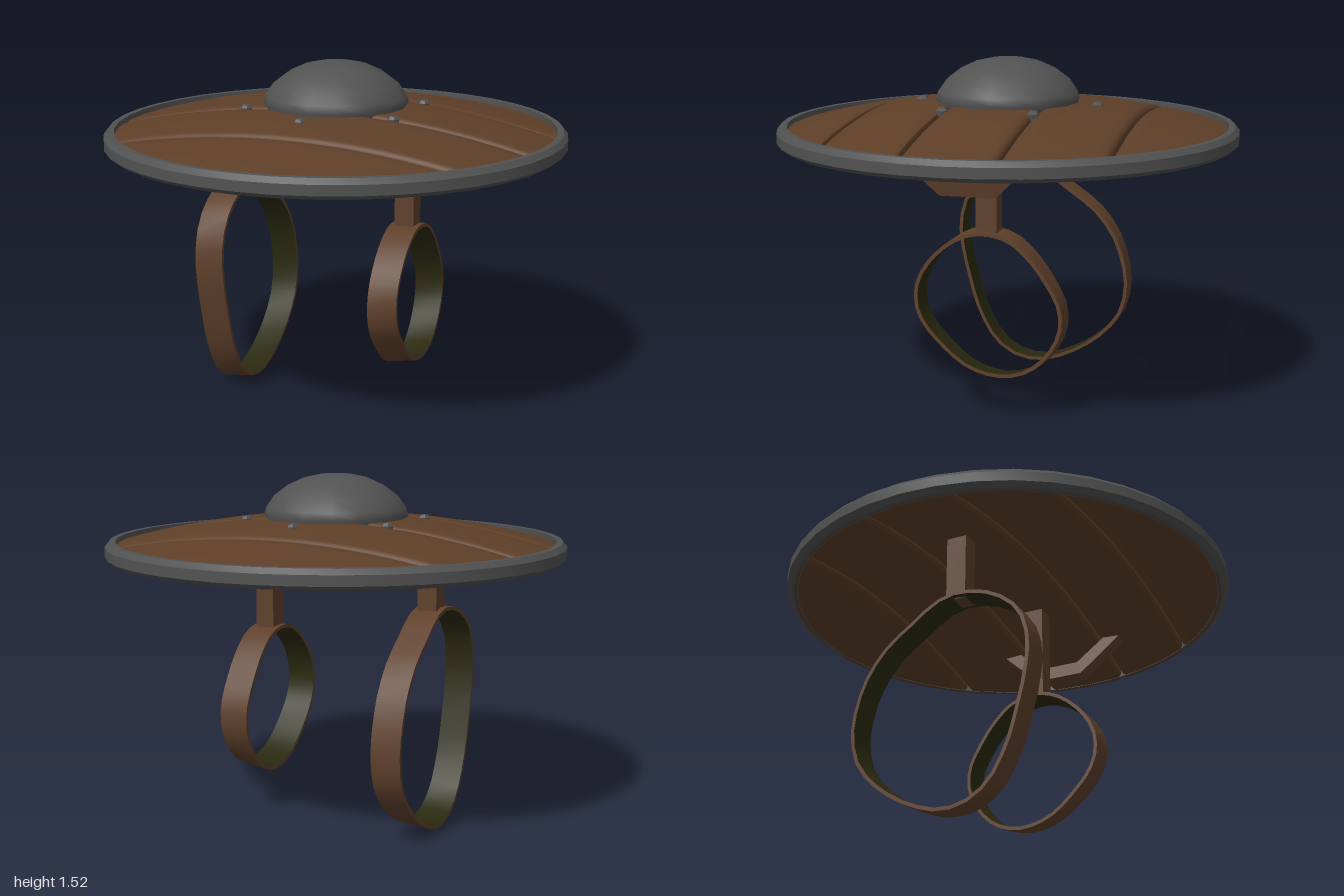
import * as THREE from 'three';
import { toCreasedNormals } from 'three/addons/utils/BufferGeometryUtils.js';

const mat = (name, color, side = THREE.FrontSide) => {
  const m = new THREE.MeshStandardMaterial({ color, side });
  m.name = name;
  return m;
};

// Surface from a grid of points f(i, j); the front faces along di x dj
function grid(ni, nj, f, crease = 0.7) {
  const pos = [], idx = [];
  for (let i = 0; i <= ni; i++) for (let j = 0; j <= nj; j++) pos.push(...f(i, j));
  for (let i = 0; i < ni; i++) {
    for (let j = 0; j < nj; j++) {
      const a = i * (nj + 1) + j, b = a + nj + 1;
      idx.push(a, b, a + 1, b, b + 1, a + 1);
    }
  }
  const g = new THREE.BufferGeometry();
  g.setAttribute('position', new THREE.Float32BufferAttribute(pos, 3));
  g.setIndex(idx);
  return toCreasedNormals(g, crease);
}

const domeY = (x, z) => 1.345 - 0.14 * (x * x + z * z);

// Curved board between z0 and z1, clipped to the disc, with rounded long edges
function plankGeometry(z0, z1) {
  const R = 0.965, T = 0.06, B = 0.022, steps = 8;
  const section = [[z0, -T + 0.012], [z0, -B], [z0 + B * 0.3, -B * 0.35]];
  for (let k = 0; k <= steps; k++) section.push([z0 + B + (z1 - z0 - 2 * B) * k / steps, 0]);
  section.push([z1 - B * 0.3, -B * 0.35], [z1, -B], [z1, -T + 0.012]);
  for (let k = 0; k <= steps; k++) section.push([z1 - 0.012 - (z1 - z0 - 0.024) * k / steps, -T]);
  section.push(section[0]);
  return grid(section.length - 1, 28, (i, j) => {
    const [z, h] = section[i];
    const x = (j / 14 - 1) * Math.sqrt(Math.max(0, R * R - z * z));
    return [x, domeY(x, z) + h, z];
  });
}

// Closed strap loop through [z, y] points, as an outer shell and a lining
function strap(name, x0, width, tilt, points, outerMat, innerMat) {
  const curve = new THREE.CatmullRomCurve3(points.map(([z, y]) => new THREE.Vector3(0, y, z)), true);
  const N = 36, w = width / 2, th = 0.016;
  const top = Math.max(...points.map(p => p[1]));
  const band = section => grid(N, section.length - 1, (i, j) => {
    const p = curve.getPointAt((i % N) / N), t = curve.getTangentAt((i % N) / N);
    const [x, off] = section[j];
    const y = p.y + t.z * off;
    return [x0 + x, y + x * tilt * (top - p.y), p.z - t.y * off];
  });
  const group = new THREE.Group();
  group.name = name;
  const outer = new THREE.Mesh(band([[-w, -th], [-w, 0], [w, 0], [w, -th]]), outerMat);
  const inner = new THREE.Mesh(band([[w, -th], [-w, -th]]), innerMat);
  outer.name = name + 'Outside';
  inner.name = name + 'Lining';
  group.add(outer, inner);
  return group;
}

export function createModel() {
  const model = new THREE.Group();
  model.name = 'roundShield';
  const wood = mat('wood', 0x5e3f28);
  const leather = mat('leather', 0x5f402b);
  const lining = mat('strapLining', 0x2a2a10);
  const metal = mat('metal', 0x525252);
  const add = (name, geometry, material, x = 0, y = 0, z = 0) => {
    const m = new THREE.Mesh(geometry, material);
    m.name = name;
    m.position.set(x, y, z);
    model.add(m);
    return m;
  };
  const lathe = (pts, n) => new THREE.LatheGeometry(pts.map(p => new THREE.Vector2(...p)), n);

  // Five planks with narrow gaps
  const cuts = [-0.965, -0.585, -0.196, 0.196, 0.582, 0.965];
  for (let i = 0; i < 5; i++) {
    add('plank' + (i + 1), plankGeometry(cuts[i] + (i ? 0.006 : 0), cuts[i + 1] - (i < 4 ? 0.006 : 0)), wood);
  }

  // Metal rim
  add('rim', toCreasedNormals(lathe([
    [0.95, 1.157], [0.978, 1.157], [1, 1.175], [1, 1.218], [0.982, 1.24], [0.955, 1.24], [0.95, 1.157],
  ], 40), 0.5), metal);

  // Central boss
  add('boss', lathe([
    [0.3, 1.31], [0.315, 1.345], [0.305, 1.375], [0.27, 1.425], [0.21, 1.47], [0.14, 1.502], [0.07, 1.517], [0, 1.521],
  ], 16), metal);

  // Rivets around the boss
  for (const [x, z] of [[0, 0.39], [0, -0.395], [0.335, 0.195], [0.335, -0.195], [-0.335, 0.195], [-0.335, -0.195]]) {
    const rivet = add('rivet', toCreasedNormals(lathe([
      [0.024, -0.025], [0.026, 0.002], [0.017, 0.014], [0, 0.017],
    ], 6), 0.4), metal, x, domeY(x, z), z);
    rivet.rotation.y = Math.PI / 6;
  }

  // Arm straps
  model.add(strap('largeStrap', -0.458, 0.13, 0.12, [
    [0, 0.97], [0.17, 0.935], [0.3, 0.83], [0.345, 0.69], [0.335, 0.55], [0.3, 0.4], [0.255, 0.25],
    [0.17, 0.1], [0.07, 0.03], [-0.05, 0.012], [-0.2, 0.06], [-0.35, 0.16], [-0.445, 0.28],
    [-0.473, 0.42], [-0.455, 0.54], [-0.41, 0.66], [-0.32, 0.78], [-0.2, 0.87], [-0.1, 0.94],
  ], leather, lining));
  model.add(strap('smallStrap', 0.333, 0.13, 0.3, [
    [0.03, 0.83], [0.14, 0.79], [0.25, 0.69], [0.305, 0.58], [0.305, 0.48], [0.27, 0.4], [0.2, 0.32],
    [0.1, 0.235], [0, 0.195], [-0.1, 0.19], [-0.2, 0.225], [-0.29, 0.315], [-0.335, 0.42],
    [-0.33, 0.52], [-0.28, 0.62], [-0.2, 0.73], [-0.1, 0.81],
  ], leather, lining));

  // Posts joining the straps to the planks
  for (const [x, y0] of [[-0.455, 0.95], [0.333, 0.82]]) {
    add('strapPost', new THREE.BoxGeometry(0.086, 1.28 - y0, 0.09), leather, x, (1.28 + y0) / 2, -0.005);
  }

  // Bent grip
  const grip = new THREE.Shape([
    [-0.32, 0.2], [-0.115, 0], [0.115, 0], [0.32, 0.2], [0.245, 0.21], [0.09, 0.07], [-0.09, 0.07], [-0.245, 0.21],
  ].map(p => new THREE.Vector2(...p)));
  const gripGeo = new THREE.ExtrudeGeometry(grip, { depth: 0.06, bevelEnabled: false });
  gripGeo.translate(0, 0, -0.03).rotateY(Math.PI / 2);
  add('grip', gripGeo, leather, 0.603, 1.035, 0).rotation.z = -0.2;

  return model;
}
